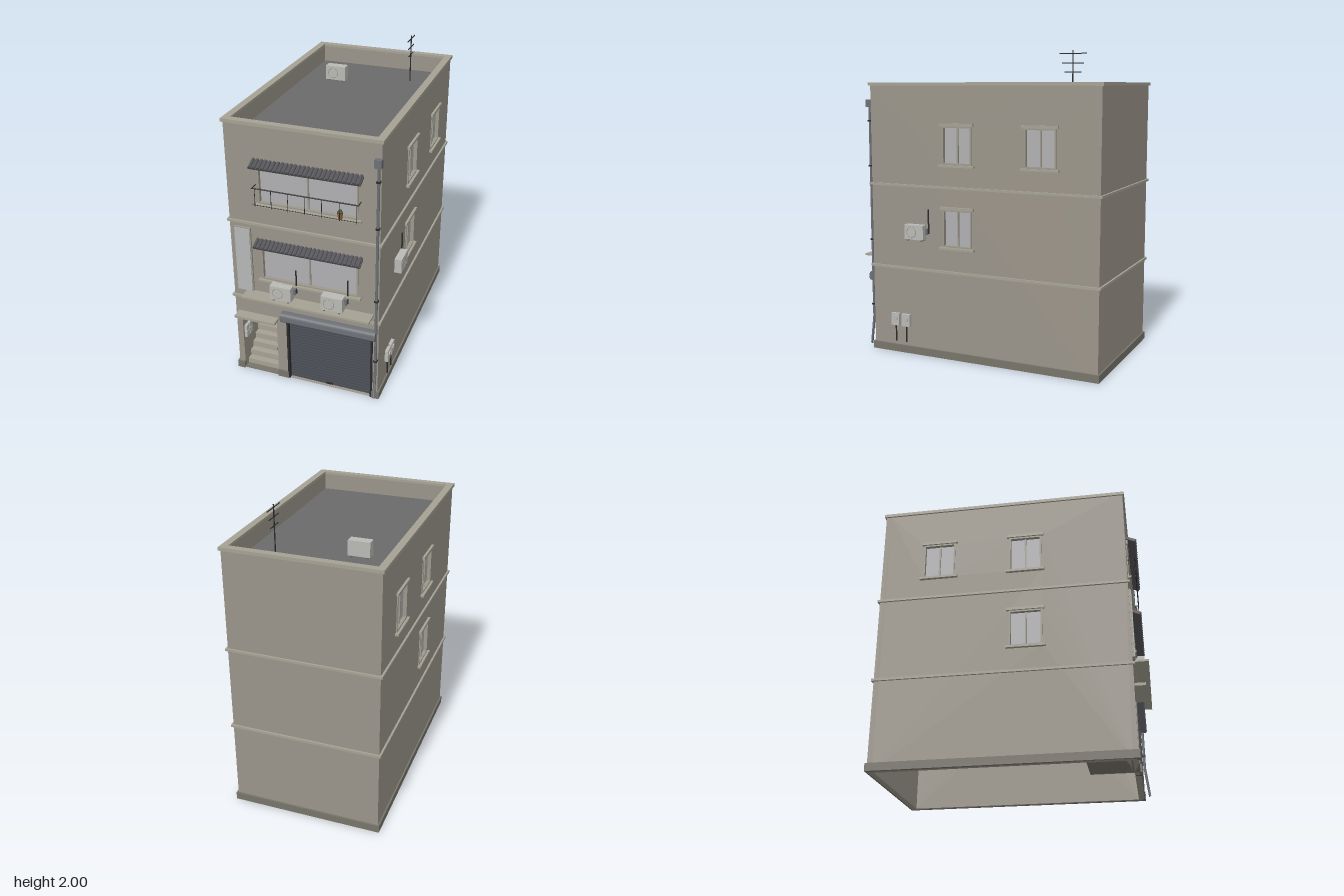
import * as THREE from 'three';

const mat = (color) => new THREE.MeshStandardMaterial({ color, side: THREE.DoubleSide });
const WALL = mat(0x9b958a), TRIM = mat(0xa5a294), PLINTH = mat(0x77746a), ROOF = mat(0x6a6a6a);
const GLASS = mat(0xb0b0b2), FRAME = mat(0x9c988c), METAL = mat(0x6d7076), SLAT = mat(0x4a4d54);
const DARK = mat(0x2b2b2e), TILE = mat(0x55555a), UNIT = mat(0xb9b9b5), SHADE = mat(0x2c2420);
const CLAY = mat(0x9a5a30), LEAF = mat(0x40502f), PANEL = mat(0xb4b8b6);

// Outer faces of the walls and their thickness
const X0 = -0.51, X1 = 0.465, Z0 = -0.845, Z1 = 0.76, T = 0.035;

function add(parent, name, geo, material, x = 0, y = 0, z = 0) {
  const m = new THREE.Mesh(geo, material);
  m.name = name;
  m.position.set(x, y, z);
  parent.add(m);
  return m;
}

// Box given by its limits on each axis
function box(parent, name, material, x0, x1, y0, y1, z0, z1) {
  return add(parent, name, new THREE.BoxGeometry(x1 - x0, y1 - y0, z1 - z0), material,
    (x0 + x1) / 2, (y0 + y1) / 2, (z0 + z1) / 2);
}

function rod(parent, name, material, points, r = 0.004) {
  const path = new THREE.CurvePath();
  const v = points.map((p) => new THREE.Vector3(...p));
  for (let i = 1; i < v.length; i++) path.add(new THREE.LineCurve3(v[i - 1], v[i]));
  return add(parent, name, new THREE.TubeGeometry(path, (v.length - 1) * 4, r, 8), material);
}

function rectPath(target, x0, x1, y0, y1) {
  target.moveTo(x0, y0).lineTo(x1, y0).lineTo(x1, y1).lineTo(x0, y1).closePath();
  return target;
}

// Facade group: local x along the wall, local z outward, wall surface at z = 0
function facade(root, name, pos, turn, x0, x1, openings) {
  const g = new THREE.Group();
  g.name = name;
  g.position.set(...pos);
  g.rotation.y = turn;
  const shape = rectPath(new THREE.Shape(), x0, x1, 0, 1.79);
  openings.forEach((o) => shape.holes.push(rectPath(new THREE.Path(), ...o)));
  add(g, 'wall', new THREE.ExtrudeGeometry(shape, { depth: T, bevelEnabled: false }), WALL, 0, 0, -T);
  root.add(g);
  return g;
}

// Sliding window: glass, frame, mullion, sill and head trim
function windowUnit(g, [x0, x1, y0, y1], head) {
  const f = 0.01, c = (x0 + x1) / 2;
  box(g, 'windowGlass', GLASS, x0, x1, y0, y1, -0.025, -0.018);
  for (const x of [x0, x1 - f]) box(g, 'windowJamb', FRAME, x, x + f, y0, y1, -0.025, 0.006);
  for (const y of [y0, y1 - f]) box(g, 'windowRail', FRAME, x0, x1, y, y + f, -0.025, 0.006);
  box(g, 'windowMullion', FRAME, c - 0.005, c + 0.005, y0, y1, -0.02, -0.008);
  box(g, 'windowSill', TRIM, x0 - 0.02, x1 + 0.02, y0 - 0.014, y0, -0.01, 0.022);
  if (head) box(g, 'windowHead', TRIM, x0 - 0.015, x1 + 0.015, y1, y1 + 0.018, -0.01, 0.016);
}

// Small tiled awning sloping away from the wall
function awning(g, x0, x1, y) {
  const a = new THREE.Group();
  a.name = 'awning';
  a.position.set(0, y, 0);
  a.rotation.x = 0.42;
  box(a, 'awningDeck', TILE, x0, x1, -0.012, 0, 0, 0.07);
  const n = 26, step = (x1 - x0) / n;
  const tile = new THREE.CylinderGeometry(step * 0.36, step * 0.36, 0.072, 8).rotateX(Math.PI / 2);
  for (let i = 0; i < n; i++) add(a, 'roofTile', tile, TILE, x0 + (i + 0.5) * step, 0.003, 0.036);
  g.add(a);
  box(g, 'awningFascia', TRIM, x0 + 0.01, x1 - 0.01, y - 0.045, y - 0.012, 0, 0.012);
}

// Outdoor cooling unit with fan grille facing local z, and its pipe
function coolingUnit(g, x, y, depth, pipeHeight) {
  box(g, 'coolingUnit', UNIT, x, x + 0.14, y, y + 0.097, 0.008, depth);
  add(g, 'fanRing', new THREE.TorusGeometry(0.034, 0.002, 6, 24), FRAME, x + 0.052, y + 0.048, depth);
  for (const dx of [0.015, 0.115]) box(g, 'unitFoot', METAL, x + dx, x + dx + 0.012, y - 0.008, y, 0, depth);
  if (!pipeHeight) return;
  box(g, 'pipeCover', METAL, x + 0.14, x + 0.156, y + 0.035, y + 0.075, 0.012, 0.028);
  rod(g, 'coolingPipe', DARK, [[x + 0.157, y + 0.04, 0.01], [x + 0.157, y + pipeHeight, 0.01]], 0.005);
}

// Horizontal ring around the building
function ring(root, name, material, out, inset, y0, y1) {
  const s = rectPath(new THREE.Shape(), X0 - out, X1 + out, -Z1 - out, -Z0 + out);
  s.holes.push(rectPath(new THREE.Path(), X0 + inset, X1 - inset, -Z1 + inset, -Z0 - inset));
  const geo = new THREE.ExtrudeGeometry(s, { depth: y1 - y0, bevelEnabled: false }).rotateX(-Math.PI / 2);
  add(root, name, geo, material, 0, y0, 0);
}

export function createModel() {
  const root = new THREE.Group();
  root.name = 'building';

  // Facades with their openings
  const door = [-0.47, -0.225, 0.002, 0.445], gate = [-0.15, 0.425, 0.002, 0.49];
  const frontWins = [[-0.305, 0.33, 0.75, 0.99], [-0.305, 0.33, 1.285, 1.53]];
  const sideWins = (s) => [[0.115, 0.75], [0.115, 1.285], [-0.457, 1.285]]
    .map(([z, y]) => [s * z - 0.105, s * z + 0.105, y, y + 0.245]);
  const front = facade(root, 'frontFacade', [0, 0, Z1], 0, X0, X1, [door, gate, ...frontWins]);
  const right = facade(root, 'windowSideFacade', [X1, 0, 0], Math.PI / 2, -Z1 + T, -Z0 - T, sideWins(-1));
  const left = facade(root, 'oppositeSideFacade', [X0, 0, 0], -Math.PI / 2, Z0 + T, Z1 - T, sideWins(1));
  facade(root, 'backFacade', [0, 0, Z0], Math.PI, -X1, -X0, []);
  frontWins.forEach((w) => windowUnit(front, w, false));
  sideWins(-1).forEach((w) => windowUnit(right, w, true));
  sideWins(1).forEach((w) => windowUnit(left, w, true));

  // Roof slab, coping and floor bands
  box(root, 'roofSlab', ROOF, X0 + T, X1 - T, 1.66, 1.68, Z0 + T, Z1 - T);
  ring(root, 'parapetCoping', TRIM, 0.011, T, 1.785, 1.806);
  ring(root, 'upperBand', TRIM, 0.013, 0.01, 1.13, 1.145);
  ring(root, 'lowerBand', TRIM, 0.013, 0.01, 0.576, 0.592);

  // Plinth, interrupted at the door and shutter
  const o = 0.011;
  box(root, 'plinthBack', PLINTH, X0 - o, X1 + o, 0, 0.05, Z0 - o, Z0 + 0.01);
  box(root, 'plinthSide', PLINTH, X0 - o, X0 + 0.01, 0, 0.05, Z0, Z1 + o);
  box(root, 'plinthSide', PLINTH, X1 - 0.01, X1 + o, 0, 0.05, Z0, Z1 + o);
  for (const [a, b] of [[X0, -0.47], [-0.225, -0.15], [0.425, X1]])
    box(root, 'plinthFront', PLINTH, a, b, 0, 0.05, Z1 - 0.01, Z1 + o);

  // Stairwell behind the door opening
  const zb = 0.46;
  box(root, 'stairwellWall', WALL, -0.225, -0.215, 0, 0.45, zb, Z1 - T);
  box(root, 'stairwellWall', WALL, -0.475, -0.47, 0, 0.45, zb, Z1 - T);
  box(root, 'stairwellCeiling', SHADE, -0.47, -0.225, 0.445, 0.45, zb, Z1 - T);
  box(root, 'stairwellBack', SHADE, -0.47, -0.225, 0.2, 0.445, zb, zb + 0.005);
  box(root, 'stairwellFloor', PLINTH, -0.47, -0.225, 0, 0.006, zb, Z1);
  for (let i = 0; i < 5; i++)
    box(root, 'stairStep', TRIM, -0.47, -0.225, i * 0.042, (i + 1) * 0.042, 0.67 - i * 0.042, 0.715 - i * 0.042);
  for (const y of [0.24, 0.288]) for (const z of [0.66, 0.705])
    box(root, 'mailbox', UNIT, -0.47, -0.452, y, y + 0.043, z, z + 0.04);
  rod(root, 'handrail', DARK, [[-0.24, 0.18, 0.73], [-0.24, 0.39, 0.5]], 0.005);
  box(root, 'entranceLamp', UNIT, -0.385, -0.315, 0.432, 0.445, 0.6, 0.63);
  box(front, 'entranceCanopy', TRIM, -0.49, -0.21, 0.447, 0.465, -0.01, 0.068);

  // Roller shutter with slats, rails, handle and housing
  box(front, 'shutterCurtain', DARK, -0.15, 0.425, 0.005, 0.49, -0.032, -0.024);
  for (let i = 0; i < 22; i++)
    box(front, 'shutterSlat', SLAT, -0.14, 0.415, 0.008 + i * 0.0215, 0.024 + i * 0.0215, -0.026, -0.014);
  for (const x of [-0.155, 0.415]) box(front, 'shutterRail', DARK, x, x + 0.014, 0, 0.48, -0.03, 0.006);
  box(front, 'shutterHandle', DARK, 0.11, 0.155, 0.015, 0.025, -0.014, -0.004);
  const hood = new THREE.Shape().moveTo(0, 0.47).lineTo(0.04, 0.47).lineTo(0.047, 0.48)
    .lineTo(0.047, 0.51).quadraticCurveTo(0.044, 0.532, 0.02, 0.532).lineTo(0, 0.532).closePath();
  const hoodGeo = new THREE.ExtrudeGeometry(hood, { depth: 0.635, bevelEnabled: false });
  add(front, 'shutterHousing', hoodGeo.rotateY(-Math.PI / 2), METAL, 0.455, 0, 0);

  // Middle floor: ledge, cooling units and tall blank panel
  box(front, 'ledge', TRIM, -0.415, 0.43, 0.632, 0.645, -0.01, 0.095);
  coolingUnit(front, -0.23, 0.653, 0.068, 0.205);
  coolingUnit(front, 0.11, 0.653, 0.068, 0.205);
  box(front, 'panelFrame', FRAME, -0.482, -0.368, 0.638, 1.102, -0.005, 0.012);
  box(front, 'panelFace', PANEL, -0.475, -0.375, 0.645, 1.095, 0, 0.016);

  // Awnings
  awning(front, -0.335, 0.36, 1.032);
  awning(front, -0.335, 0.36, 1.572);

  // Window railing and flower pot
  for (const y of [1.405, 1.295]) rod(front, 'railingBar', DARK, [[-0.325, y, 0.05], [0.35, y, 0.05]], y > 1.3 ? 0.004 : 0.002);
  for (const x of [-0.32, 0.345]) rod(front, 'railingBracket', DARK, [[x, 1.405, 0], [x, 1.405, 0.05]], 0.003);
  for (const x of [-0.305, -0.2, -0.093, 0.013, 0.12, 0.23, 0.335])
    rod(front, 'railingPost', DARK, [[x, 1.285, 0.05], [x, 1.405, 0.05]], 0.002);
  add(front, 'flowerPot', new THREE.CylinderGeometry(0.017, 0.012, 0.035, 16), CLAY, 0.225, 1.302, 0.025);
  for (const [dx, dy, dz] of [[-0.009, 0, 0], [0.009, 0.003, 0.004], [0, 0.009, -0.005]])
    add(front, 'potPlant', new THREE.IcosahedronGeometry(0.011, 1), LEAF, 0.225 + dx, 1.326 + dy, 0.025 + dz);

  // Rain pipe at the front corner
  box(front, 'rainHead', METAL, 0.428, 0.472, 1.645, 1.695, 0, 0.036);
  rod(front, 'rainPipe', METAL, [[0.452, 1.65, 0.016], [0.452, 0.06, 0.016], [0.452, 0.025, 0.04]], 0.009);
  for (const y of [0.3, 0.75, 1.25, 1.55]) box(front, 'pipeClip', DARK, 0.44, 0.464, y, y + 0.01, 0, 0.027);

  // Cooling unit and meters on the side wall
  coolingUnit(right, -0.48, 0.79, 0.055, 0.2);
  for (const [a, b] of [[-0.615, -0.555], [-0.535, -0.472]]) {
    const c = (a + b) / 2;
    box(right, 'meterBox', UNIT, a, b, 0.185, 0.268, 0, 0.022);
    add(right, 'meterDial', new THREE.CylinderGeometry(0.018, 0.018, 0.01, 20).rotateX(Math.PI / 2), PANEL, c, 0.235, 0.024);
    rod(right, 'meterPipe', DARK, [[c, 0.19, 0.01], [c, 0.075, 0.01]], 0.005);
  }

  // Rooftop unit and antenna
  const roofUnit = new THREE.Group();
  roofUnit.name = 'rooftopUnit';
  roofUnit.position.set(0, 1.69, -0.463);
  coolingUnit(roofUnit, -0.308, 0, 0.068, 0);
  root.add(roofUnit);
  rod(root, 'antennaMast', DARK, [[0.245, 1.68, -0.578], [0.245, 2, -0.578]], 0.004);
  for (const [y, h] of [[1.98, 0.088], [1.922, 0.07], [1.868, 0.054]])
    rod(root, 'antennaElement', DARK, [[0.245, y, -0.578 - h], [0.245, y, -0.578 + h]], 0.003);

  return root;
}
